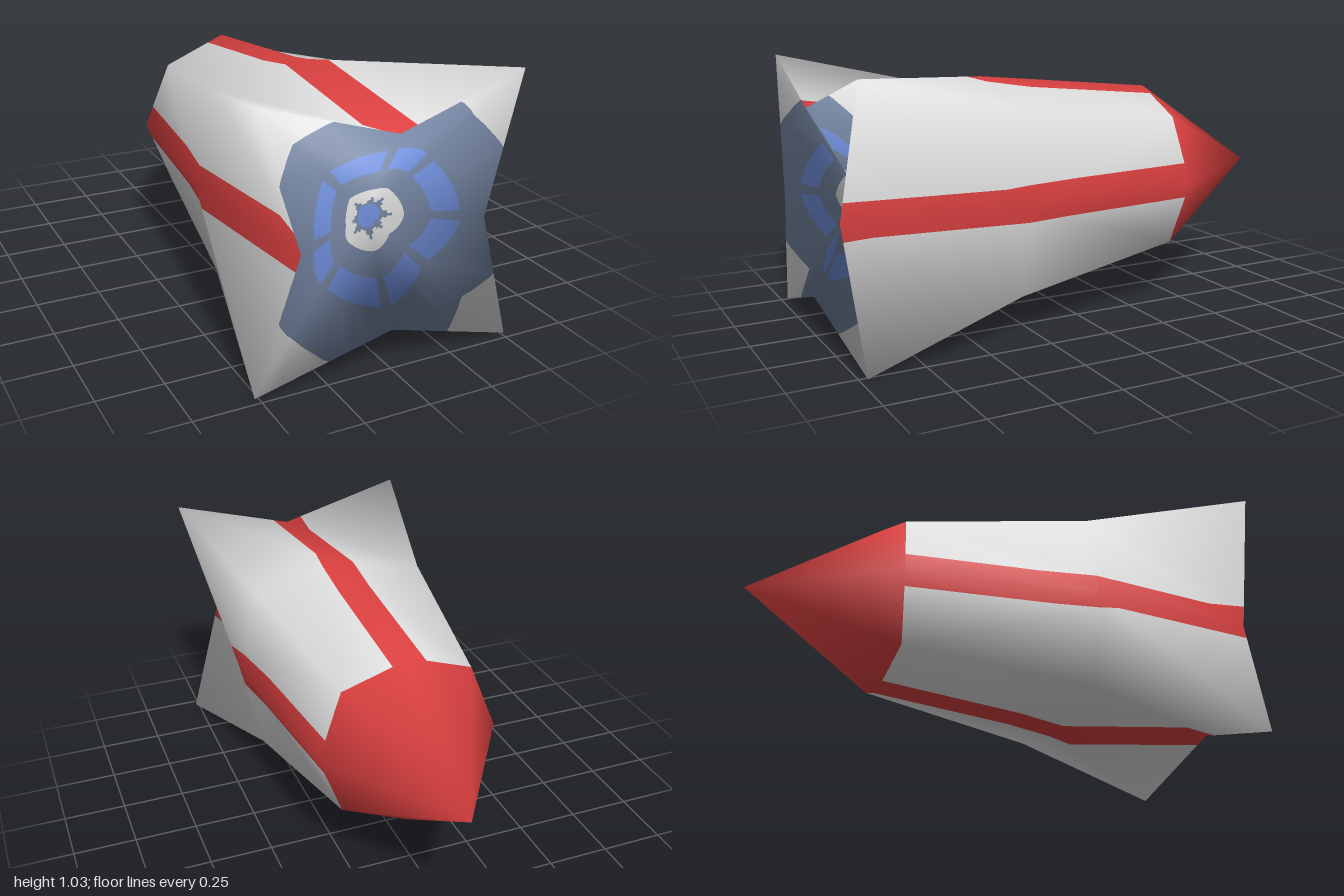
import * as THREE from 'three';

const CY = 0.515; // height of the long axis

const paint = (name, color) => {
  const m = new THREE.MeshStandardMaterial({ color });
  m.name = name;
  return m;
};

// Eight-sided ring; even corners lie on the axes, odd ones on the diagonals
const ring = (axisR, axisZ, diagonal, diagonalZ) =>
  Array.from({ length: 8 }, (_, i) => {
    const a = (i * Math.PI) / 4;
    const r = i % 2 ? diagonal * Math.SQRT2 : axisR;
    return [r * Math.cos(a), CY + r * Math.sin(a), i % 2 ? diagonalZ : axisZ];
  });

// Cut a polygon by the plane f = 0, blending positions and normals
function split(poly, f) {
  const inside = [], outside = [];
  poly.forEach((p, k) => {
    const q = poly[(k + 1) % poly.length];
    const a = f(p), b = f(q);
    if (a <= 0) inside.push(p);
    if (a >= 0) outside.push(p);
    if (a * b < 0) {
      const cut = p.map((v, j) => v + (q[j] - v) * (a / (a - b)));
      inside.push(cut);
      outside.push(cut);
    }
  });
  return [inside, outside];
}

function meshFrom(name, polys, material) {
  const pos = [], nor = [];
  for (const p of polys) {
    for (let k = 1; k + 1 < p.length; k++) {
      for (const v of [p[0], p[k], p[k + 1]]) {
        pos.push(v[0], v[1], v[2]);
        nor.push(v[3], v[4], v[5]);
      }
    }
  }
  const g = new THREE.BufferGeometry();
  g.setAttribute('position', new THREE.Float32BufferAttribute(pos, 3));
  g.setAttribute('normal', new THREE.Float32BufferAttribute(nor, 3));
  g.normalizeNormals();
  const mesh = new THREE.Mesh(g, material);
  mesh.name = name;
  return mesh;
}

export function createModel() {
  const white = paint('white', 0xdedede);
  const red = paint('red', 0xdb4040);
  const slate = paint('slate blue', 0x7585a2);
  const blue = paint('bright blue', 0x7190dc);

  // Cross-sections: star-shaped front rim 0-7, waist 8-15, shoulder 16-23,
  // then the sunken front centre 24 and the nose tip 25
  const points = [
    ...ring(0.36, 1.0, 0.513, 0.97),
    ...ring(0.44, 0.3, 0.362, 0.3),
    ...ring(0.362, -0.46, 0.262, -0.437),
    [0, CY, 0.8],
    [0, CY, -1],
  ];

  const front = [], body = [], nose = [];
  for (let i = 0; i < 8; i++) {
    const j = (i + 1) % 8;
    const axis = (i % 2 ? j : i) % 4 === 0 ? 1 : 0; // stripe limits run along y or x
    front.push([24, i, j]);
    nose.push([25, 16 + j, 16 + i]);
    const quad = (a, b, c, d, flip) => {
      const pair = flip ? [[a, b, d], [b, c, d]] : [[a, b, c], [a, c, d]];
      pair.forEach((tri) => body.push({ tri, axis }));
    };
    quad(8 + i, 8 + j, j, i, i === 1 || i === 2);
    quad(16 + i, 16 + j, 8 + j, 8 + i, i % 2 === 0);
  }

  // Smooth normals shared by the whole hull
  const hull = new THREE.BufferGeometry();
  hull.setAttribute('position', new THREE.Float32BufferAttribute(points.flat(), 3));
  hull.setIndex([...front, ...body.map((b) => b.tri), ...nose].flat());
  hull.computeVertexNormals();
  const n = hull.attributes.normal;
  const poly = (tri) => tri.map((k) => [...points[k], n.getX(k), n.getY(k), n.getZ(k)]);

  // Body panels with four lengthwise stripes
  const panels = [], stripes = [];
  for (const { tri, axis } of body) {
    const low = axis ? 0.455 : -0.067, high = axis ? 0.595 : 0.067;
    const [below, above] = split(poly(tri), (v) => v[axis] - high);
    const [outer, middle] = split(below, (v) => v[axis] - low);
    panels.push(above, outer);
    stripes.push(middle);
  }

  // Front: wedges cut into bands form the disc, window blocks, ring and star
  const bands = { white: [], slate: [], blue: [] };
  const angles = [0, 4, 13, 22.5, 32, 41, 45];
  front.forEach((tri, s) => {
    for (let w = 0; w < 6; w++) {
      const from = ((s * 45 + angles[w]) * Math.PI) / 180;
      const to = ((s * 45 + angles[w + 1]) * Math.PI) / 180;
      const side = (t) => (v) => (v[1] - CY) * Math.cos(t) - v[0] * Math.sin(t);
      let rest = split(split(poly(tri), side(to))[0], side(from))[1];
      const mid = (from + to) / 2;
      const reach = (v) => v[0] * Math.cos(mid) + (v[1] - CY) * Math.sin(mid);
      const gap = w === 0 || w === 5;
      const star = [0.08, 0.066, 0.054, 0.054, 0.066, 0.08][w];
      const steps = [
        ['blue', 0.044], ['slate', star], ['white', 0.117],
        ['slate', 0.2], [gap ? 'slate' : 'blue', 0.29], ['slate', 0.495],
      ];
      for (const [name, r] of steps) {
        const [near, far] = split(rest, (v) => reach(v) - r);
        bands[name].push(near);
        rest = far;
      }
      bands.white.push(rest);
    }
  });

  const group = new THREE.Group();
  group.name = 'starFrontedCapsule';
  group.add(
    meshFrom('bodyPanels', panels, white),
    meshFrom('bodyStripes', stripes, red),
    meshFrom('noseCone', nose.map(poly), red),
    meshFrom('frontDisc', bands.slate, slate),
    meshFrom('frontBlocks', bands.blue, blue),
    meshFrom('frontRingAndTips', bands.white, white),
  );
  return group;
}
